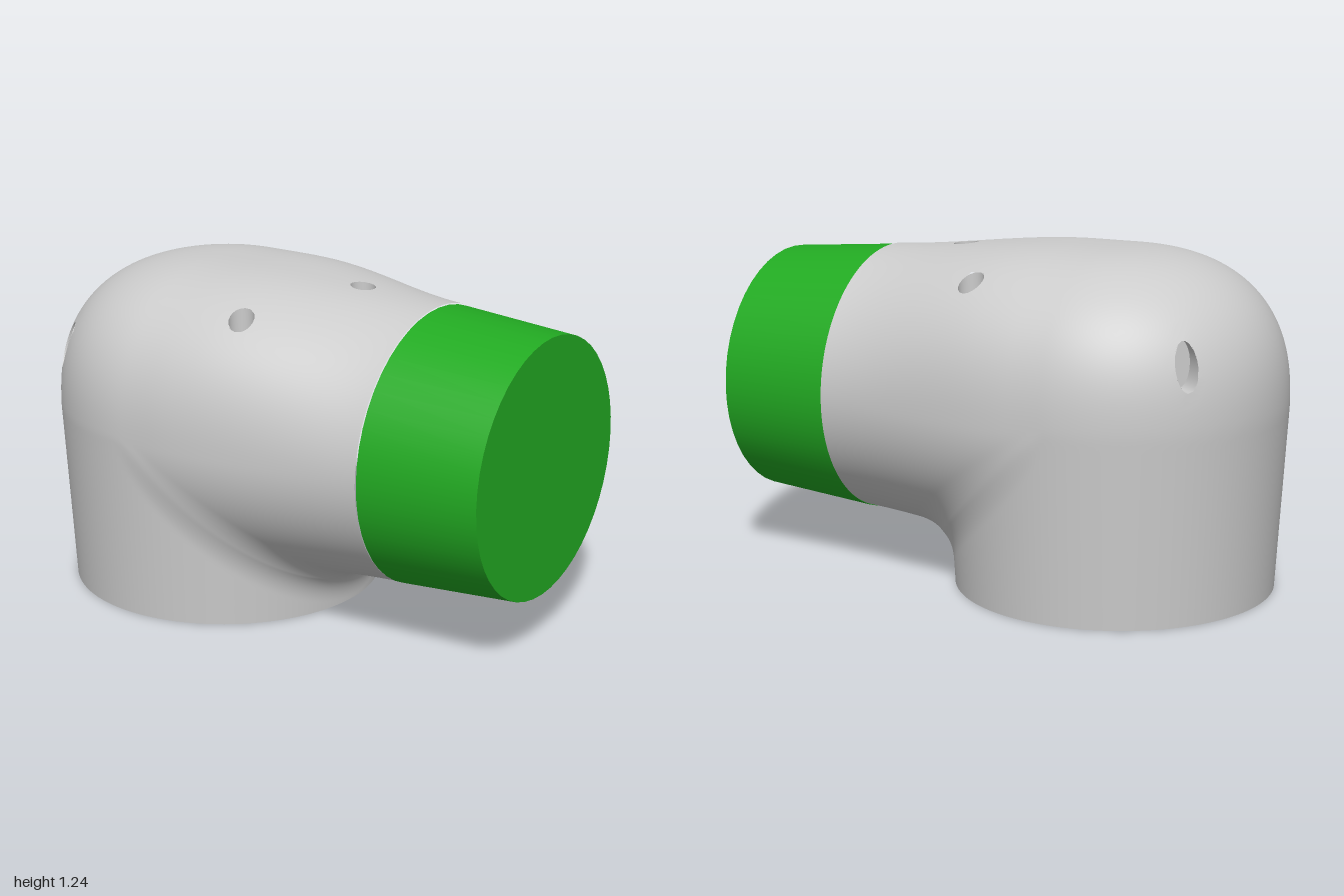
import * as THREE from 'three';

const V = (x, y, z) => new THREE.Vector3(x, y, z);
const { smoothstep, lerp } = THREE.MathUtils;
const LEG_X = -0.375, ARM_Y = 0.677, PIVOT = V(0.38, 0, 0);
const SEGS = 192, STEP = 0.02;

// Pipe-elbow rule: below 1 inside, above 1 outside
function field(p) {
  const legR = 0.585 + 0.038 * Math.min(1, p.y / 0.68);
  const armZ = 0.623 - 0.108 * smoothstep(p.x, -0.25, 0.65);
  const armY = 0.56 - 0.06 * smoothstep(p.x, -0.2, 0.65);
  const u = (p.x - LEG_X) / legR, v = (p.y - ARM_Y) / armY;
  const e = v > 0 ? 2.5 - 0.5 * smoothstep(p.x, -0.1, 0.55) : 2;
  const leg = Math.hypot(u, p.z / legR);
  const w = Math.abs(p.z) / armZ;
  const arm = (Math.abs(v) ** e + w ** e) ** (1 / e);
  if (u < 0) return v < 0 ? leg : (leg ** e + v ** e) ** (1 / e); // leg, rounded dome
  if (v > 0) return arm;
  // Inner corner: union of leg and arm with a fillet
  const k = 0.25 * Math.min(u, -v, 1) + 1e-6;
  const h = Math.max(k - Math.abs(leg - arm), 0) / k;
  return Math.min(leg, arm) - h * h * k / 4;
}

// Point where the line from `origin` along `dir` leaves the solid
function findSurface(origin, dir, lo, hi) {
  const p = V();
  for (let i = 0; i < 26; i++) {
    const mid = (lo + hi) / 2;
    p.copy(origin).addScaledVector(dir, mid);
    if (field(p) < 1) lo = mid; else hi = mid;
  }
  return p;
}

// Vent holes: centre, drilling axis, half width, half height, depth
function hole(center, n, a, b, depth) {
  const t1 = Math.abs(n.y) > 0.9 ? V(1, 0, 0) : V(0, 1, 0).cross(n).normalize();
  return { center, n, t1, t2: n.clone().cross(t1), a, b, depth };
}
const holes = [hole(V(0.24, 1.2, 0), V(0, 1, 0), 0.046, 0.046, 0.07)];
for (const s of [1, -1]) {
  holes.push(hole(V(0, 1.13, 0.4 * s), V(0, 1, 0), 0.046, 0.046, 0.09));
  holes.push(hole(V(-0.82, 0.91, 0.405 * s), V(-0.72, 0, 0.69 * s).normalize(), 0.042, 0.085, 0.08));
}

// Position of p in a hole's own plane, scaled so the rim is at 1
function holeCoords(o, p) {
  const d = p.clone().sub(o.center);
  const s = d.dot(o.t1) / o.a, t = d.dot(o.t2) / o.b;
  return { s, t, r: Math.hypot(s, t), near: Math.abs(d.dot(o.n)) < 0.2 };
}
function rimPoint(o, s, t) {
  const base = o.center.clone().addScaledVector(o.t1, s * o.a).addScaledVector(o.t2, t * o.b);
  return findSurface(base, o.n, -0.2, 0.2);
}

function makeGeometry(points, index) {
  const g = new THREE.BufferGeometry().setFromPoints(points);
  g.setIndex(index);
  g.computeVertexNormals();
  return g;
}

function shellGeometry() {
  // Section planes: a fan around the inner corner, then straight along the arm
  const rows = [];
  const FAN = 96, ARM = 10;
  for (let j = 0; j <= FAN; j++) {
    const a = j / FAN * Math.PI / 2;
    const inward = V(Math.cos(a), -Math.sin(a), 0);
    const reach = lerp(PIVOT.x - LEG_X, ARM_Y, j / FAN);
    rows.push({ inward, reach, c: PIVOT.clone().addScaledVector(inward, -reach) });
  }
  for (let j = 1; j <= ARM; j++) {
    rows.push({ inward: V(0, -1, 0), reach: ARM_Y, c: V(lerp(PIVOT.x, 0.555, j / ARM), ARM_Y, 0) });
  }
  const points = [], index = [];
  for (const { inward, reach, c } of rows) {
    for (let i = 0; i < SEGS; i++) {
      const f = i / SEGS * Math.PI * 2, cos = Math.cos(f);
      const dir = inward.clone().multiplyScalar(cos).add(V(0, 0, Math.sin(f)));
      let p = findSurface(c, dir, 0, cos > 0 ? Math.min(1.2, reach / cos) : 1.2);
      // Pull nearby vertices onto the hole rims
      for (const o of holes) {
        const { s, t, r, near } = holeCoords(o, p);
        if (near && Math.abs(r - 1) < 0.6 * STEP / o.a) p = rimPoint(o, s / r, t / r);
      }
      points.push(p);
    }
  }
  const inHole = (...ids) => {
    const m = V();
    ids.forEach((id) => m.addScaledVector(points[id], 1 / 3));
    return holes.some((o) => {
      const q = holeCoords(o, m);
      return q.near && q.r < 0.99;
    });
  };
  for (let j = 0; j < rows.length - 1; j++) {
    for (let i = 0; i < SEGS; i++) {
      const a = j * SEGS + i, b = j * SEGS + (i + 1) % SEGS;
      for (const tri of [[a, a + SEGS, b], [b, a + SEGS, b + SEGS]]) {
        if (!inHole(...tri)) index.push(...tri);
      }
    }
  }
  return makeGeometry(points, index);
}

// Hole lining: wall from the rim down to a flat floor
function holeGeometry(o) {
  const N = 32, points = [], index = [];
  for (let i = 0; i < N; i++) {
    const f = i / N * Math.PI * 2;
    const rim = rimPoint(o, Math.cos(f), Math.sin(f));
    const h = rim.clone().sub(o.center).dot(o.n);
    const floor = rim.clone().addScaledVector(o.n, -o.depth - h);
    points.push(rim, floor, floor.clone());
  }
  points.push(o.center.clone().addScaledVector(o.n, -o.depth));
  for (let i = 0; i < N; i++) {
    const a = i * 3, b = ((i + 1) % N) * 3;
    index.push(a, b, a + 1, b, b + 1, a + 1, a + 2, b + 2, N * 3);
  }
  return makeGeometry(points, index);
}

export function createModel() {
  const model = new THREE.Group();
  const grey = new THREE.MeshStandardMaterial({ color: 0xcccccc });
  const lining = new THREE.MeshStandardMaterial({ color: 0xcccccc, side: THREE.DoubleSide });
  const green = new THREE.MeshStandardMaterial({ color: 0x22aa22 });
  const add = (name, geometry, material) => {
    const mesh = new THREE.Mesh(geometry, material);
    mesh.name = name;
    model.add(mesh);
    return mesh;
  };

  add('elbowShell', shellGeometry(), grey);

  // Flat underside of the leg
  const base = add('base', new THREE.CircleGeometry(0.585, 96), grey);
  base.rotation.x = Math.PI / 2;
  base.position.x = LEG_X;

  holes.forEach((o, i) => add('ventHole' + (i + 1), holeGeometry(o), lining));

  // Tapered coloured sleeve at the end of the arm
  const sleeve = add('sleeve', new THREE.CylinderGeometry(0.467, 0.502, 0.445, 48), green);
  sleeve.rotation.z = -Math.PI / 2;
  sleeve.scale.z = 1.02;
  sleeve.position.set(0.7775, 0.673, 0);

  return model;
}
